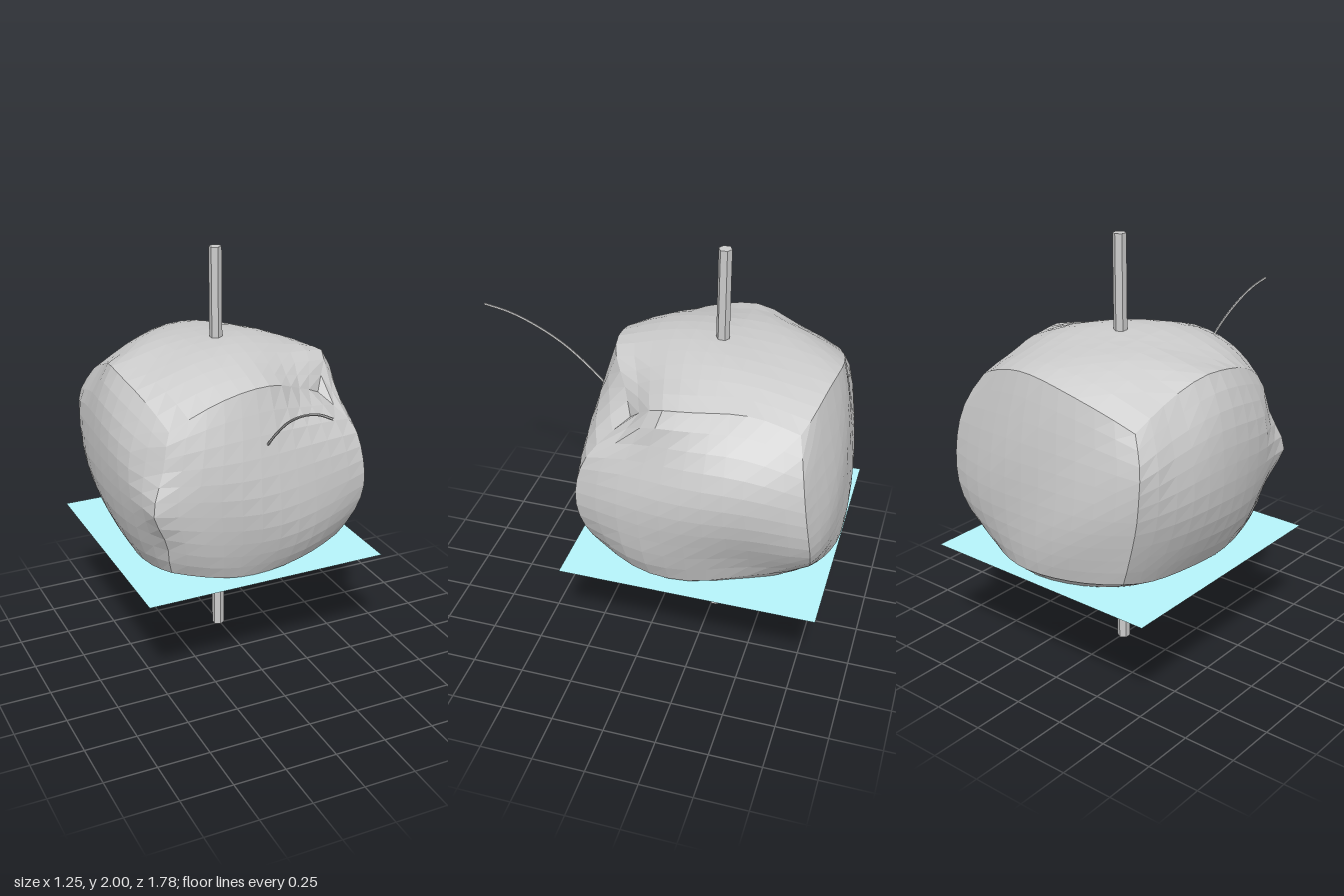
import * as THREE from 'three';

// Boulder cage: three layers (bottom, middle, top), each with rows back to front
// and points from -x to +x.
const cage = [
  [[-0.42, 0.64, -0.76], [0, 0.6, -0.87], [0.34, 0.63, -0.78],
   [-0.48, 0.56, -0.3], [0.03, 0.365, -0.35], [0.51, 0.56, -0.3],
   [-0.43, 0.6, 0.18], [0, 0.55, 0.26], [0.43, 0.62, 0.18]],
  [[-0.52, 1.0, -0.79], [0, 0.98, -0.885], [0.54, 0.98, -0.8],
   [-0.625, 1.03, -0.27], [0, 1, -0.27], [0.625, 1.04, -0.3],
   [-0.53, 0.98, 0.26], [0, 0.95, 0.345], [0.53, 1.0, 0.26]],
  [[-0.46, 1.33, -0.73], [0, 1.48, -0.8], [0.42, 1.4, -0.71],
   [-0.52, 1.48, -0.27], [0, 1.565, -0.27], [0.48, 1.47, -0.3],
   [-0.44, 1.31, 0.19], [0, 1.48, 0.24], [0.38, 1.33, 0.06]],
];

// Local dents and knobs: centre, push, radius
const knocks = [
  [[-0.53, 0.95, 0.24], [-0.02, 0, 0.01], 0.07],
  [[-0.5, 1.13, 0.22], [0.03, 0, -0.015], 0.1],
  [[-0.5, 0.76, 0.22], [0.02, 0, -0.01], 0.1],
  [[0.44, 1.41, -0.5], [-0.055, -0.02, 0], 0.18],
  [[0.46, 1.42, -0.1], [0.045, 0.035, 0], 0.12],
  [[0.22, 1.41, 0.14], [0, -0.04, -0.04], 0.16],
  [[0.5, 1.2, 0.2], [0.02, 0, 0.01], 0.12],
  [[0.52, 0.68, -0.5], [-0.05, 0.01, 0], 0.22],
  [[0.54, 0.65, 0], [0.035, 0, 0], 0.18],
  [[-0.49, 1.2, -0.75], [-0.03, 0, -0.01], 0.12],
  [[-0.4, 1.5, -0.2], [0, -0.02, 0], 0.14],
  [[-0.48, 1.42, -0.5], [0.03, -0.02, 0], 0.15],
];

// Quadratic weights of the cage points at -1, 0 and 1
const weights = t => [t * (t - 1) / 2, 1 - t * t, t * (t + 1) / 2];

function boulderGeometry() {
  const geometry = new THREE.BoxGeometry(2, 2, 2, 11, 11, 11);
  const pos = geometry.attributes.position;
  const p = new THREE.Vector3(), node = new THREE.Vector3(), centre = new THREE.Vector3();
  for (let n = 0; n < pos.count; n++) {
    const u = pos.getX(n), v = pos.getY(n), w = pos.getZ(n);
    const wx = weights(u), wy = weights(v), wz = weights(w);
    p.set(0, 0, 0);
    for (let j = 0; j < 3; j++)
      for (let k = 0; k < 3; k++)
        for (let i = 0; i < 3; i++)
          p.addScaledVector(node.fromArray(cage[j][k * 3 + i]), wx[i] * wy[j] * wz[k]);
    for (const [c, push, r] of knocks) {
      const d = p.distanceTo(centre.fromArray(c)) / r;
      p.addScaledVector(node.fromArray(push), Math.exp(-d * d));
    }
    // Gentle unevenness of the stone
    p.x += 0.005 * Math.sin(5 * v + 3 * w + 1);
    p.y += 0.005 * Math.sin(5 * w + 4 * u);
    p.z += 0.005 * Math.sin(5 * u + 4 * v + 2);
    pos.setXYZ(n, p.x, p.y, p.z);
  }
  geometry.computeVertexNormals();
  return geometry;
}

export function createModel() {
  const model = new THREE.Group();
  const grey = new THREE.MeshStandardMaterial({ color: 0xcccccc, flatShading: true });
  const add = (name, geometry, material = grey) => {
    const mesh = new THREE.Mesh(geometry, material);
    mesh.name = name;
    model.add(mesh);
    return mesh;
  };

  add('boulder', boulderGeometry());

  // Six-sided pole through the middle
  add('pole', new THREE.CylinderGeometry(0.031, 0.031, 2, 6)).position.set(-0.004, 1, -0.265);

  // Thin curved stalk at the front
  const path = [[1.21, 0.29], [1.3, 0.38], [1.4, 0.5], [1.48, 0.64], [1.53, 0.77], [1.553, 0.89]]
    .map(([y, z]) => new THREE.Vector3(-0.004, y, z));
  add('stalk', new THREE.TubeGeometry(new THREE.CatmullRomCurve3(path), 20, 0.006, 6));

  // Flat water sheet cutting through the lower part
  const water = new THREE.MeshStandardMaterial({ color: 0xb6f4fa, side: THREE.DoubleSide });
  add('waterSheet', new THREE.PlaneGeometry(1.21, 1.21).rotateX(-Math.PI / 2), water)
    .position.set(-0.004, 0.545, -0.265);

  return model;
}
